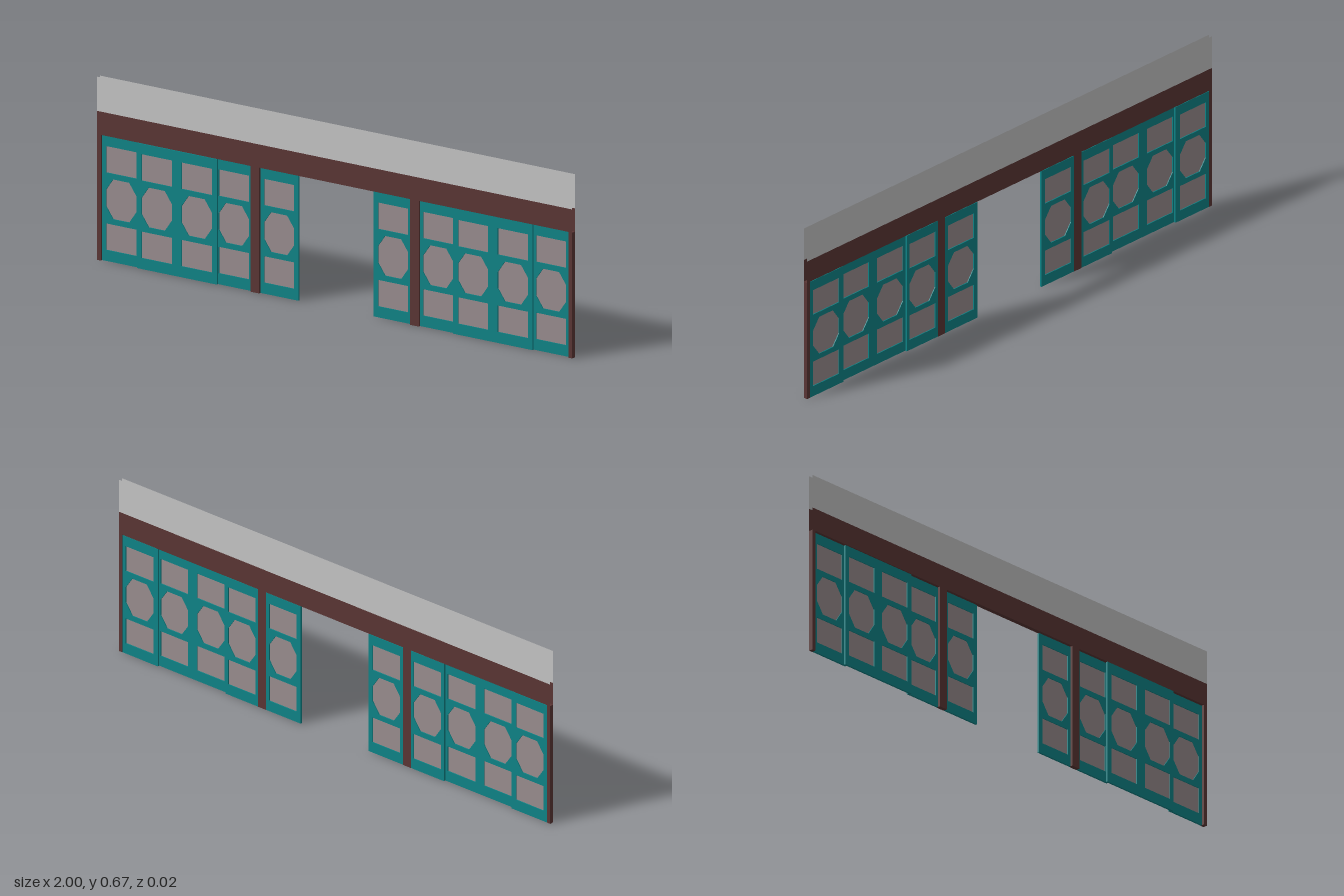
import * as THREE from 'three';

const mat = (name, color, side = THREE.FrontSide) => {
  const m = new THREE.MeshStandardMaterial({ color, side });
  m.name = name;
  return m;
};

const PANE_W = 0.064; // half width of every window
const BEAM_Y = 0.46, WALL_Y = 0.545, TOP_Y = 0.67, HALF_T = 0.008;

// Outlines of the three windows stacked in each bay
function bayOutlines(cx) {
  const rect = (y0, y1) => [[-PANE_W, y0], [PANE_W, y0], [PANE_W, y1], [-PANE_W, y1]];
  const a = 0.034, b = 0.03, h = 0.073, cy = 0.23;
  const octagon = [[-a, -h], [a, -h], [PANE_W, -b], [PANE_W, b], [a, h], [-a, h], [-PANE_W, b], [-PANE_W, -b]]
    .map(([x, y]) => [x, y + cy]);
  return [rect(0.04, 0.137), octagon, rect(0.323, 0.42)]
    .map((pts) => pts.map(([x, y]) => new THREE.Vector2(x + cx, y)));
}

export function createModel() {
  const root = new THREE.Group();
  root.name = 'slidingDoorWall';
  const teal = mat('teal frame', 0x0e8386);
  const brown = mat('dark brown wood', 0x5a3534);
  const brownSheet = mat('dark brown beam', 0x5a3534, THREE.DoubleSide);
  const grey = mat('light grey wall', 0xc4c4c4, THREE.DoubleSide);
  const glass = mat('dusky pane', 0x988c8e, THREE.DoubleSide);

  const add = (parent, name, geo, material, x = 0, y = 0, z = 0) => {
    const mesh = new THREE.Mesh(geo, material);
    mesh.name = name;
    mesh.position.set(x, y, z);
    parent.add(mesh);
    return mesh;
  };

  // Door leaf: a thin frame with cut-out windows, each filled by a flat pane
  function leaf(name, x0, x1, bays, z0, top) {
    const group = new THREE.Group();
    group.name = name;
    const depth = 0.007;
    const frame = new THREE.Shape([[x0, 0], [x1, 0], [x1, top], [x0, top]]
      .map(([x, y]) => new THREE.Vector2(x, y)));
    for (const cx of bays) {
      for (const pts of bayOutlines(cx)) {
        frame.holes.push(new THREE.Path(pts));
        add(group, 'windowPane', new THREE.ShapeGeometry(new THREE.Shape(pts)), glass, 0, 0, z0 + depth / 2);
      }
    }
    add(group, 'leafFrame', new THREE.ExtrudeGeometry(frame, { depth, bevelEnabled: false }), teal, 0, 0, z0);
    root.add(group);
  }

  // Both halves: single leaves on the rear track, wide leaves on the front track
  for (const s of [-1, 1]) {
    const side = s > 0 ? 'left' : 'right';
    const place = (name, a, b, bays, z0, top) =>
      leaf(side + name, Math.min(s * a, s * b), Math.max(s * a, s * b), bays.map((c) => s * c), z0, top);
    place('OuterLeaf', 0.82, 0.985, [0.905], -0.0072, 0.458);
    place('WideLeaf', 0.497, 0.832, [0.75, 0.582], 0.0004, s > 0 ? 0.462 : 0.458);
    place('InnerLeaf', 0.353, 0.507, [0.43], -0.0072, 0.458);
    place('OpeningLeaf', 0.158, 0.32, [0.24], -0.0072, 0.458);

    // Posts
    for (const [name, a, b] of [['EndPost', 0.985, 1], ['InnerPost', 0.318, 0.354]]) {
      add(root, side + name, new THREE.BoxGeometry(b - a, BEAM_Y, HALF_T * 2), brown, s * (a + b) / 2, BEAM_Y / 2);
    }
  }

  // Beam and upper wall: open front and back sheets
  const sheet = (name, y0, y1, material) => {
    for (const s of [1, -1]) {
      const m = add(root, name + (s > 0 ? 'Front' : 'Back'), new THREE.PlaneGeometry(2, y1 - y0), material,
        0, (y0 + y1) / 2, s * HALF_T);
      if (s < 0) m.rotation.y = Math.PI;
    }
  };
  sheet('beam', BEAM_Y, WALL_Y, brownSheet);
  sheet('upperWall', WALL_Y, TOP_Y, grey);

  // Underside of the beam
  add(root, 'beamUnderside', new THREE.PlaneGeometry(2, HALF_T * 2).rotateX(Math.PI / 2), brownSheet, 0, BEAM_Y + 0.0005);
  return root;
}
